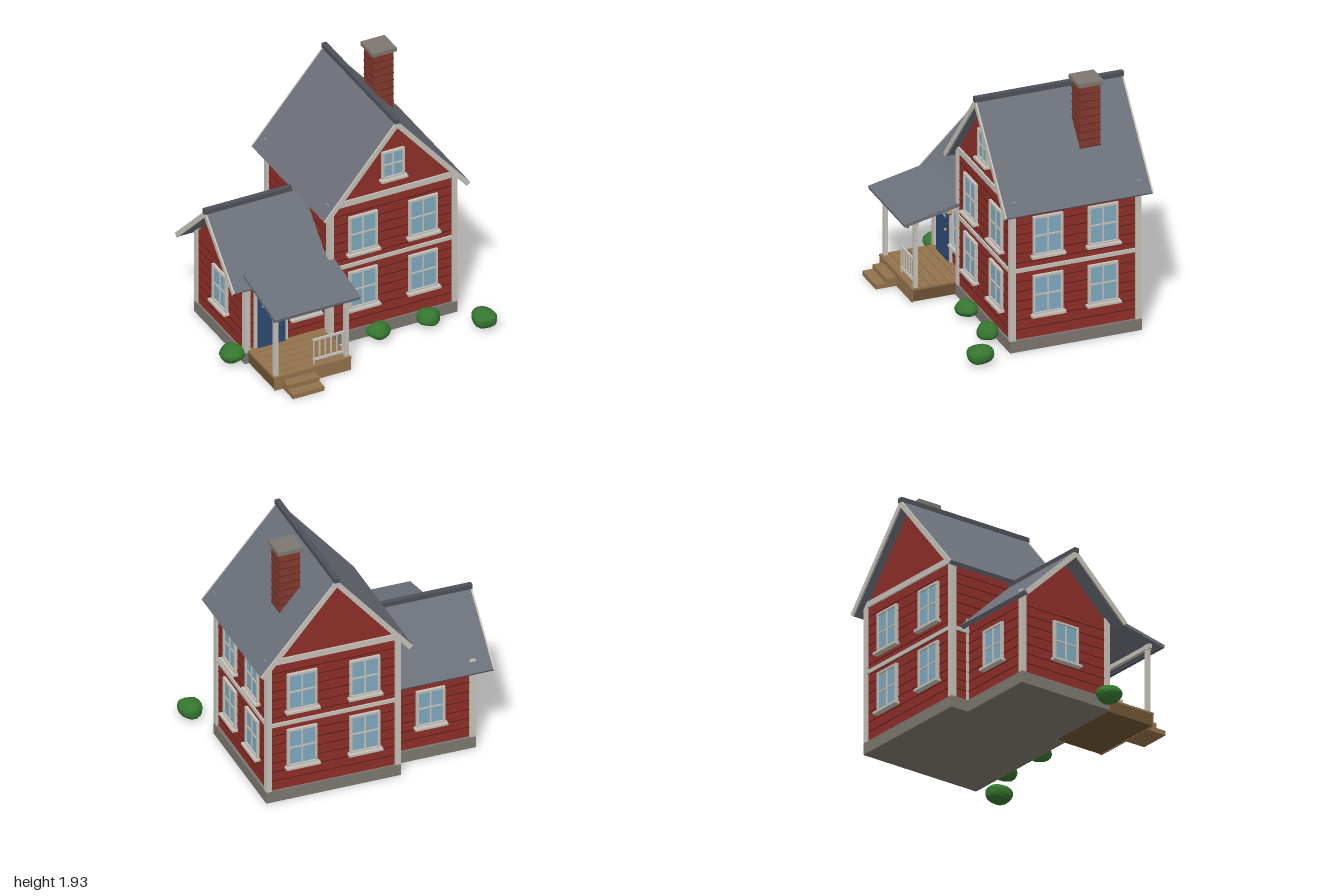
import * as THREE from 'three';

const mat = (color) => new THREE.MeshStandardMaterial({ color });
const M = {
  wall: mat(0x8f2f28), seam: mat(0x5a1d19), trim: mat(0xc6c2ba), roof: mat(0x6c7079), cap: mat(0x4d5258),
  glass: mat(0x7fabc0), stone: mat(0x7c7770), door: mat(0x2f4a73), wood: mat(0x93724c), woodDark: mat(0x6e5233),
  brick: mat(0x84392e), brickSeam: mat(0x5c2a22), metal: mat(0x3a3a3c), lamp: mat(0xc9a35a), bush: mat(0x35762f),
};
M.bush.flatShading = true;

function add(parent, name, geometry, material) {
  const mesh = new THREE.Mesh(geometry, material);
  mesh.name = name;
  parent.add(mesh);
  return mesh;
}

// Box given by its extents
function box(parent, name, material, x0, x1, y0, y1, z0, z1) {
  const mesh = add(parent, name, new THREE.BoxGeometry(x1 - x0, y1 - y0, z1 - z0), material);
  mesh.position.set((x0 + x1) / 2, (y0 + y1) / 2, (z0 + z1) / 2);
  return mesh;
}

function extrude(points, z0, z1) {
  const shape = new THREE.Shape(points.map(([x, y]) => new THREE.Vector2(x, y)));
  const g = new THREE.ExtrudeGeometry(shape, { depth: z1 - z0, bevelEnabled: false });
  return g.translate(0, 0, z0);
}

// Chevron cross-section of a gable roof, apex at the origin
function chevron(half, rise, t) {
  const len = Math.hypot(half, rise);
  const ex = half - (rise / len) * t, ey = -rise - (half / len) * t;
  return [[0, 0], [-half, -rise], [-ex, ey], [0, -t * len / half], [ex, ey], [half, -rise]];
}

// Four-pane window facing local +z, centred on the origin
function makeWindow(w, h) {
  const g = new THREE.Group();
  g.name = 'window';
  const a = w / 2, b = h / 2, f = 0.017, m = 0.006;
  box(g, 'glass', M.glass, -a + f, a - f, -b + f, b - f, -0.005, 0.01);
  for (const s of [-1, 1]) {
    const x = s * (a - f / 2), y = s * (b - f / 2);
    box(g, 'frameSide', M.trim, x - f / 2, x + f / 2, -b, b, -0.005, 0.022);
    box(g, 'frameRail', M.trim, -a + f, a - f, y - f / 2, y + f / 2, -0.005, 0.022);
  }
  box(g, 'mullion', M.trim, -m, m, -b + f, b - f, 0, 0.017);
  box(g, 'glazingBar', M.trim, -a + f, a - f, -m, m, 0, 0.016);
  box(g, 'sill', M.trim, -a - 0.015, a + 0.015, -b - 0.014, -b + 0.004, -0.005, 0.045);
  return g;
}

function placeWindow(parent, x, y, z, turn = 0, w = 0.23, h = 0.31) {
  const win = makeWindow(w, h);
  win.position.set(x, y, z);
  win.rotation.y = turn;
  parent.add(win);
}

// House block with gables on local +z and -z, centred on the ridge line
function makeBlock(name, { hw, hd, eave, apex, trimTop, roofHalf, roofRise, roofTop, z0, z1, bands }) {
  const g = new THREE.Group();
  g.name = name;
  const gable = [[-hw, 0.05], [hw, 0.05], [hw, eave], [0, apex], [-hw, eave]];
  add(g, 'walls', extrude(gable, -hd, hd), M.wall);
  box(g, 'foundation', M.stone, -hw - 0.02, hw + 0.02, 0, 0.09, -hd - 0.015, hd + 0.015);
  for (let y = 0.165; y < eave - 0.03; y += 0.075)
    box(g, 'clapboardSeam', M.seam, -hw - 0.003, hw + 0.003, y, y + 0.006, -hd - 0.003, hd + 0.003);
  for (const [y0, y1] of bands)
    box(g, 'trimBand', M.trim, -hw - 0.012, hw + 0.012, y0, y1, -hd - 0.012, hd + 0.012);
  for (const sx of [-1, 1]) for (const sz of [-1, 1]) {
    const x = sx * (hw - 0.002), z = sz * (hd - 0.007);
    box(g, 'cornerTrim', M.trim, x - 0.021, x + 0.021, 0.09, trimTop, z - 0.022, z + 0.022);
  }
  // Roof slopes, pale verge boards and ridge cap
  const roof = new THREE.Group();
  roof.name = 'roof';
  roof.position.y = roofTop;
  g.add(roof);
  add(roof, 'roofSlopes', extrude(chevron(roofHalf, roofRise, 0.033), z0, z1), M.roof);
  const verge = chevron(roofHalf, roofRise, 0.038);
  add(roof, 'vergeBoard', extrude(verge, z0 - 0.012, z0), M.trim);
  add(roof, 'vergeBoard', extrude(verge, z1, z1 + 0.012), M.trim);
  box(roof, 'ridgeCap', M.cap, -0.02, 0.02, -0.02, 0.016, z0 - 0.016, z1 + 0.016);
  return g;
}

function makeMainHouse() {
  const g = makeBlock('mainHouse', {
    hw: 0.495, hd: 0.49, eave: 1.15, apex: 1.735, trimTop: 1.19, roofHalf: 0.583, roofRise: 0.685, roofTop: 1.792,
    z0: -0.557, z1: 0.557, bands: [[0.62, 0.65], [1.14, 1.187]],
  });
  for (const y of [0.425, 0.89]) for (const s of [-1, 1]) {
    placeWindow(g, s * 0.24, y, 0.49);
    placeWindow(g, s * 0.24, y, -0.49, Math.PI);
    placeWindow(g, 0.495, y, s * 0.212, Math.PI / 2);
  }
  placeWindow(g, 0, 1.4, 0.49, 0, 0.18, 0.23);
  g.position.set(0.312, 0, -0.21);
  return g;
}

function makeWing() {
  const g = makeBlock('sideWing', {
    hw: 0.375, hd: 0.33, eave: 0.68, apex: 1.04, trimTop: 0.735, roofHalf: 0.455, roofRise: 0.44, roofTop: 1.1,
    z0: -0.455, z1: 0.34, bands: [],
  });
  // Local +z points to -x of the house
  g.rotation.y = -Math.PI / 2;
  g.position.set(-0.49, 0, -0.175);
  placeWindow(g, 0, 0.415, 0.33, 0, 0.22, 0.3);
  placeWindow(g, -0.375, 0.415, 0, -Math.PI / 2, 0.22, 0.3);
  placeWindow(g, 0.375, 0.415, -0.145, Math.PI / 2, 0.22, 0.3);
  // The verge overhangs only on the open gable end
  g.children.find((c) => c.name === 'roof').scale.z = -1;
  return g;
}

function makeDoor() {
  const g = new THREE.Group();
  g.name = 'frontDoor';
  box(g, 'doorFrame', M.trim, -0.135, 0.135, 0, 0.515, -0.01, 0.014);
  box(g, 'doorLeaf', M.door, -0.108, 0.108, 0, 0.495, 0, 0.026);
  box(g, 'doorGlass', M.glass, -0.078, 0.078, 0.335, 0.445, 0.02, 0.03);
  const knob = add(g, 'doorKnob', new THREE.SphereGeometry(0.01, 10, 8), M.lamp);
  knob.position.set(0.083, 0.245, 0.034);
  g.position.set(-0.622, 0.105, 0.2);
  return g;
}

function makePorch() {
  const g = new THREE.Group();
  g.name = 'porch';
  box(g, 'deckBase', M.woodDark, -0.805, -0.2, 0.005, 0.095, 0.2, 0.625);
  box(g, 'deckSkirt', M.wood, -0.808, -0.197, 0, 0.094, 0.62, 0.63);
  const planks = 6, pitch = 0.435 / planks;
  for (let i = 0; i < planks; i++)
    box(g, 'deckPlank', M.wood, -0.81, -0.195, 0.092, 0.107, 0.2 + i * pitch, 0.2 + (i + 1) * pitch - 0.005);
  box(g, 'upperStep', M.wood, -0.742, -0.49, 0, 0.07, 0.625, 0.708);
  box(g, 'lowerStep', M.wood, -0.742, -0.49, 0, 0.035, 0.708, 0.788);
  // Posts and beam
  for (const x of [-0.784, -0.22]) {
    box(g, 'post', M.trim, x - 0.015, x + 0.015, 0.1, 0.635, 0.58, 0.61);
    box(g, 'postCap', M.trim, x - 0.02, x + 0.02, 0.597, 0.635, 0.575, 0.615);
  }
  box(g, 'beam', M.trim, -0.82, -0.18, 0.603, 0.635, 0.582, 0.608);
  // Lean-to roof
  const roof = add(g, 'porchRoof', new THREE.BoxGeometry(0.684, 0.024, 0.51), M.roof);
  roof.position.set(-0.5, 0.688, 0.452);
  roof.rotation.x = 0.215;
  box(g, 'roofFascia', M.cap, -0.84, -0.16, 0.615, 0.642, 0.668, 0.682);
  // Railing
  for (const y of [0.14, 0.305]) box(g, 'rail', M.trim, -0.485, -0.23, y, y + 0.015, 0.587, 0.603);
  for (let i = 0; i < 6; i++) {
    const x = -0.478 + i * 0.046;
    box(g, 'baluster', M.trim, x - 0.005, x + 0.005, i ? 0.14 : 0.105, 0.31, 0.59, 0.6);
  }
  // Wall lantern
  box(g, 'lanternBody', M.lamp, -0.483, -0.455, 0.51, 0.565, 0.222, 0.25);
  box(g, 'lanternTop', M.metal, -0.488, -0.45, 0.565, 0.58, 0.2, 0.255);
  box(g, 'lanternBase', M.metal, -0.486, -0.452, 0.503, 0.51, 0.219, 0.253);
  return g;
}

function makeChimney() {
  const g = new THREE.Group();
  g.name = 'chimney';
  box(g, 'chimneyStack', M.brick, 0.475, 0.631, 1.3, 1.91, -0.478, -0.322);
  for (let y = 1.36; y < 1.9; y += 0.06)
    box(g, 'brickCourse', M.brickSeam, 0.472, 0.634, y, y + 0.006, -0.481, -0.319);
  box(g, 'chimneyCap', M.stone, 0.457, 0.65, 1.905, 1.935, -0.497, -0.305);
  return g;
}

// Lumpy faceted shrub
function makeBush(x, z, rx, ry, rz, seed) {
  const geo = new THREE.IcosahedronGeometry(1, 2);
  const p = geo.attributes.position, v = new THREE.Vector3();
  for (let i = 0; i < p.count; i++) {
    v.fromBufferAttribute(p, i);
    v.multiplyScalar(0.94 + 0.07 * Math.sin(4 * v.x + seed) * Math.cos(3 * v.z + 2 * seed) + 0.04 * Math.sin(5 * v.y + seed));
    p.setXYZ(i, v.x * rx, v.y * ry, v.z * rz);
  }
  geo.computeVertexNormals();
  const mesh = new THREE.Mesh(geo, M.bush);
  mesh.name = 'bush';
  mesh.position.set(x, 0.01 + ry * 0.93, z);
  return mesh;
}

export function createModel() {
  const model = new THREE.Group();
  model.name = 'house';
  model.add(makeMainHouse(), makeWing(), makeDoor(), makePorch(), makeChimney());
  model.add(
    makeBush(-0.905, 0.155, 0.097, 0.074, 0.1, 1),
    makeBush(0.165, 0.36, 0.092, 0.068, 0.088, 2.3),
    makeBush(0.56, 0.36, 0.094, 0.066, 0.088, 3.7),
    makeBush(0.9, 0.555, 0.099, 0.072, 0.112, 5.1),
  );
  return model;
}
